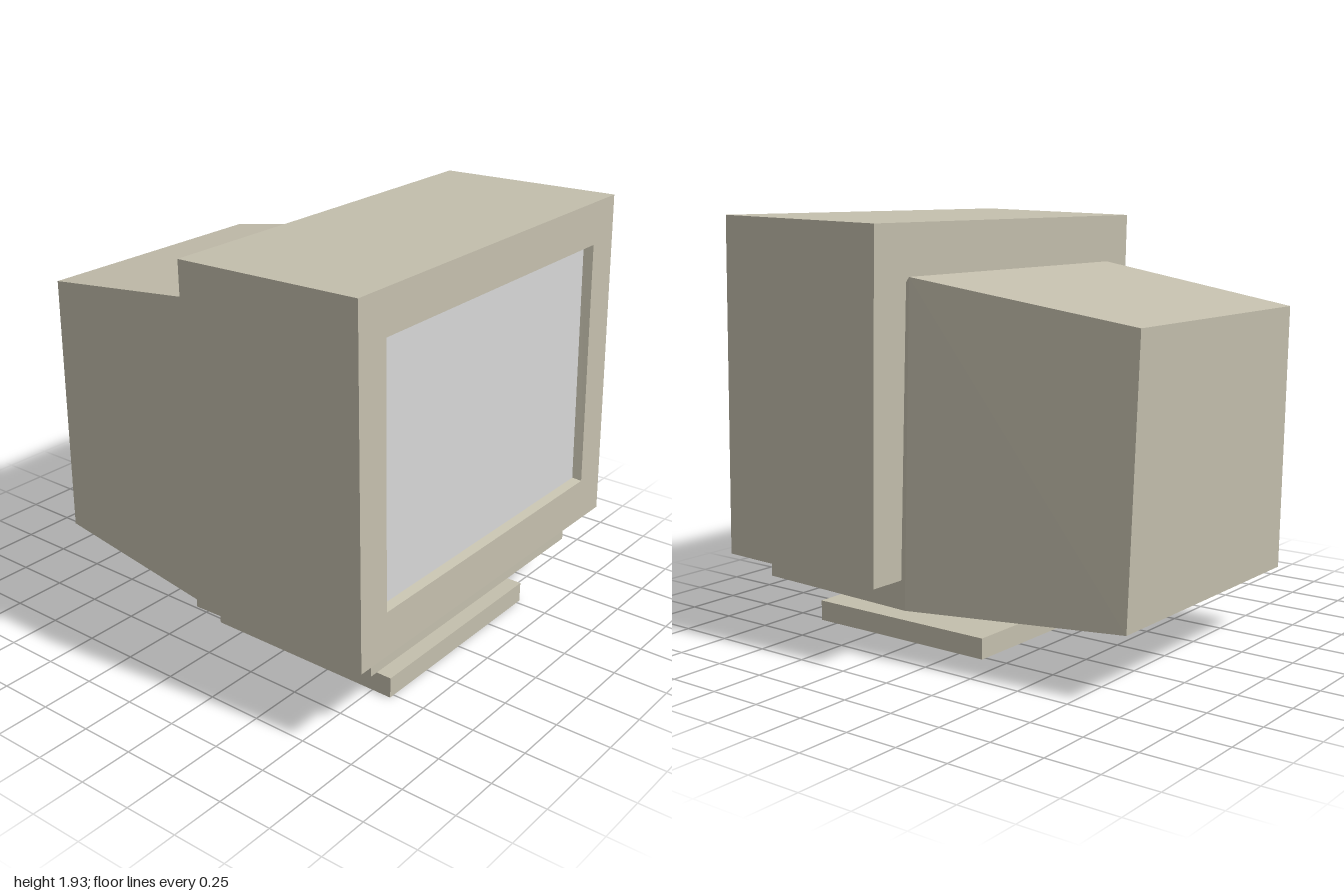
import * as THREE from 'three';

const beige = new THREE.MeshStandardMaterial({ name: 'beige plastic', color: 0xc4bfad });
const grey = new THREE.MeshStandardMaterial({ name: 'screen grey', color: 0xd6d6d6 });
const brown = new THREE.MeshStandardMaterial({ name: 'swivel brown', color: 0xa08552, flatShading: true });
const beigeFlat = beige;
beige.flatShading = true;

// Four corners of a leaning cross-section: half width, y and z of its bottom and top edge
const section = ([wb, yb, zb, wt, yt, zt]) =>
  [[-wb, yb, zb], [wb, yb, zb], [wt, yt, zt], [-wt, yt, zt]];

// Joins cross-sections listed from back to front, with optional end caps
function loft(sections, capBack, capFront) {
  const rings = sections.map(section);
  const pos = [];
  const quad = (a, b, c, d) => pos.push(...a, ...b, ...c, ...a, ...c, ...d);
  for (let r = 0; r < rings.length - 1; r++) {
    for (let i = 0; i < 4; i++) {
      const j = (i + 1) % 4;
      quad(rings[r][i], rings[r][j], rings[r + 1][j], rings[r + 1][i]);
    }
  }
  if (capBack) quad(...[...rings[0]].reverse());
  if (capFront) quad(...rings[rings.length - 1]);
  const geo = new THREE.BufferGeometry();
  geo.setAttribute('position', new THREE.Float32BufferAttribute(pos, 3));
  geo.computeVertexNormals();
  return geo;
}

export function createModel() {
  const model = new THREE.Group();
  model.name = 'monitor';
  const add = (name, geo, mat, x = 0, y = 0, z = 0) => {
    const mesh = new THREE.Mesh(geo, mat);
    mesh.name = name;
    mesh.position.set(x, y, z);
    model.add(mesh);
    return mesh;
  };

  // Front housing, slightly tilted back, with a recessed screen opening
  const recess = [0.757, 0.60, 0.955, 0.757, 1.722, 0.925];
  add('frontHousing', loft([
    [0.94, 0.37, 0.12, 0.94, 1.905, 0.08],
    [0.94, 0.39, 1.0, 0.94, 1.928, 0.96],
    [0.772, 0.59, 0.995, 0.772, 1.735, 0.965],
    recess,
  ], true, false), beige);
  add('screen', loft([recess], false, true), grey);

  // Tapered tube housing that continues forward as the lower chin
  add('rearHousing', loft([
    [0.65, 0.30, -0.965, 0.625, 1.52, -1.0],
    [0.765, 0.238, 0.1, 0.742, 1.68, 0.07],
    [0.768, 0.26, 0.92, 0.768, 0.5, 0.92],
  ], true, true), beige);

  // Swivel stand
  const standZ = 0.4;
  add('swivelDish', new THREE.CylinderGeometry(0.42, 0.29, 0.095, 8), brown, 0, 0.2125, standZ);
  add('standColumn', new THREE.CylinderGeometry(0.29, 0.29, 0.08, 8), beigeFlat, 0, 0.125, standZ);
  add('standBase', new THREE.BoxGeometry(1.05, 0.096, 0.98), beige, 0, 0.048, 0.355);

  return model;
}
